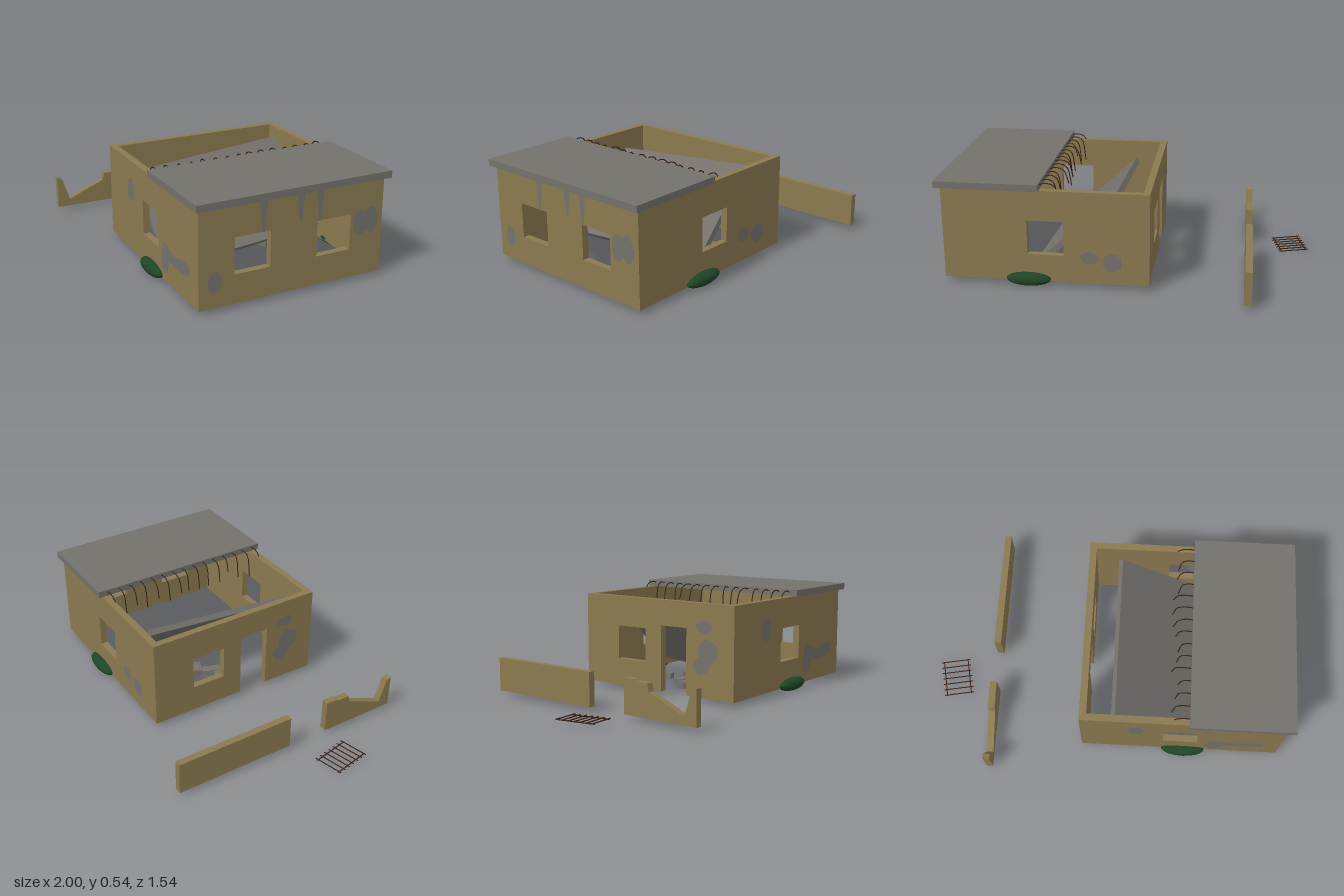
import * as THREE from 'three';

const W = 1.055, D = 0.982, T = 0.036, BASE = 0.035, TOP = 0.52, TURN = -0.263;

export function createModel() {
  const mat = (name, color, side = THREE.FrontSide) => {
    const m = new THREE.MeshStandardMaterial({ color, flatShading: true, side });
    m.name = name;
    return m;
  };
  const plaster = mat('tan plaster', 0x8b7a50);
  const concrete = mat('grey concrete', 0x74716c);
  const patchGrey = mat('exposed grey', 0x74716c, THREE.DoubleSide);
  const leaf = mat('dark green', 0x1f4426);
  const rust = mat('rusty iron', 0x3a2218);

  let seed = 11;
  const rnd = () => (seed = (seed * 16807) % 2147483647) / 2147483647;

  const model = new THREE.Group();
  model.name = 'ruinedHouse';
  const add = (parent, name, geo, material, pos = [0, 0, 0], rot = [0, 0, 0]) => {
    const m = new THREE.Mesh(geo, material);
    m.name = name;
    m.position.set(...pos);
    m.rotation.set(...rot);
    parent.add(m);
    return m;
  };
  const poly = pts => new THREE.Shape(pts.map(p => new THREE.Vector2(...p)));
  const rect = (x0, x1, y0, y1) => poly([[x0, y0], [x1, y0], [x1, y1], [x0, y1]]);
  const slab = shape => new THREE.ExtrudeGeometry(shape, { depth: T, bevelEnabled: false });
  const rod = (pts, r = 0.003, n = 6) => new THREE.TubeGeometry(
    new THREE.CatmullRomCurve3(pts.map(p => new THREE.Vector3(...p))), n, r, 5);

  const house = new THREE.Group();
  house.name = 'house';
  house.position.set(0.3275, 0, 0.13);
  house.rotation.y = TURN;
  model.add(house);

  // One wall: outer face on z = 0, windows given by their centre, optional door notch
  function wall(name, length, windows, pos, turn, door) {
    const g = new THREE.Group();
    g.name = name;
    g.position.set(...pos);
    g.rotation.y = turn;
    house.add(g);
    const h = length / 2;
    const outline = [[-h, BASE]];
    if (door) outline.push([door[0], BASE], [door[0], door[2]], [door[1], door[2]], [door[1], BASE]);
    outline.push([h, BASE], [h, TOP], [-h, TOP]);
    const shape = poly(outline);
    for (const u of windows) shape.holes.push(rect(u - 0.093, u + 0.093, 0.18, 0.36));
    add(g, name + 'Panel', slab(shape), plaster, [0, 0, -T]);
    return g;
  }
  const front = wall('frontWall', W - 2 * T, [0], [0, 0, D / 2], 0);
  const back = wall('backWall', W - 2 * T, [0], [0, 0, -D / 2], Math.PI);
  const right = wall('windowWall', D, [-0.217, 0.217], [W / 2, 0, 0], Math.PI / 2);
  const left = wall('doorWall', D, [-0.17], [-W / 2, 0, 0], -Math.PI / 2, [0.03, 0.195, 0.385]);

  // Worn patches where the plaster has fallen off
  function patch(parent, u, v, rx, ry) {
    const pts = [];
    for (let i = 0; i < 11; i++) {
      const a = i / 11 * Math.PI * 2, k = 0.88 + 0.2 * rnd();
      pts.push([u + Math.cos(a) * rx * k, v + Math.sin(a) * ry * k]);
    }
    add(parent, 'wornPatch', new THREE.ShapeGeometry(poly(pts)), patchGrey, [0, 0, 0.003]);
  }
  const flat = (parent, name, pts) =>
    add(parent, name, new THREE.ShapeGeometry(poly(pts)), patchGrey, [0, 0, 0.003]);
  flat(front, 'wornPatch', [[-0.275, 0.32], [-0.22, 0.305], [-0.195, 0.36], [-0.215, 0.43], [-0.265, 0.42], [-0.28, 0.38]]);
  flat(front, 'wornPatch', [[0.14, 0.1], [0.17, 0.08], [0.2, 0.09], [0.225, 0.155], [0.3, 0.15], [0.38, 0.155],
    [0.43, 0.165], [0.45, 0.195], [0.43, 0.225], [0.37, 0.225], [0.29, 0.205], [0.22, 0.225], [0.18, 0.245], [0.15, 0.22], [0.135, 0.16]]);
  patch(right, 0.365, 0.31, 0.042, 0.07);
  patch(right, 0.425, 0.315, 0.042, 0.07);
  patch(right, -0.41, 0.162, 0.037, 0.054);
  patch(back, 0.225, 0.175, 0.048, 0.034);
  patch(back, 0.34, 0.15, 0.05, 0.05);
  patch(left, 0.31, 0.4, 0.05, 0.033);
  patch(left, 0.33, 0.27, 0.062, 0.07);
  patch(left, 0.29, 0.2, 0.05, 0.045);
  // Water streaks running down from the roof
  for (const [u, len] of [[-0.165, 0.16], [0.03, 0.14], [0.135, 0.16]])
    flat(right, 'streak', [[u - 0.022, TOP], [u - 0.007, TOP - len], [u + 0.007, TOP - len], [u + 0.022, TOP]]);

  // Remaining half of the roof and the half that fell inside
  add(house, 'roof', new THREE.BoxGeometry(0.53, 0.035, 1.026), concrete, [0.292, 0.5375, 0]);
  add(house, 'fallenRoof', new THREE.BoxGeometry(0.56, 0.03, 0.865), concrete,
    [-0.153, 0.258, 0.005], [0.09, 0, -0.74]);

  // Bent bars along the broken roof edge
  for (let i = 0; i < 15; i++) {
    const z = -0.46 + i * 0.066, reach = 0.065 + rnd() * 0.04, drop = 0.06 + rnd() * 0.06, dz = (rnd() - 0.5) * 0.02;
    add(house, 'roofBar', rod([[0.04, 0.537, z], [0, 0.55, z], [0.03 - reach * 0.75, 0.535, z + dz * 0.5],
      [0.03 - reach, 0.535 - drop, z + dz]], 0.003, 8), rust);
  }

  // Shrubs flattened against the walls
  for (const [x, z] of [[0.02, 0.495], [0.09, -0.495]]) {
    const shrub = add(house, 'shrub', new THREE.IcosahedronGeometry(1, 2), leaf, [x, 0.047, z]);
    shrub.scale.set(0.117, 0.036, 0.042);
  }

  // Rubble under the fallen roof
  for (const [x, z, len] of [[-0.06, -0.15, 0.1], [-0.1, -0.08, 0.08], [-0.2, -0.3, 0.1], [-0.17, -0.23, 0.09],
    [-0.27, -0.26, 0.07], [-0.28, 0, 0.1], [-0.33, 0.03, 0.07], [-0.22, -0.06, 0.08]]) {
    add(house, 'rubble', new THREE.BoxGeometry(len, 0.032, 0.05), concrete, [x, 0.034, z],
      [(rnd() - 0.5) * 0.5, rnd() * 3, (rnd() - 0.5) * 0.5]);
  }

  // Low remains of the yard wall
  add(model, 'yardWall', new THREE.BoxGeometry(T, 0.175, 0.645), plaster, [-0.57, 0.1225, -0.452], [0, TURN, 0]);
  const broken = slab(poly([[-0.212, 0], [0.212, 0], [0.212, 0.175], [0.185, 0.165], [0.145, 0.04],
    [-0.06, 0.125], [-0.07, 0.165], [-0.14, 0.165], [-0.15, 0.175], [-0.212, 0.175]]));
  broken.translate(0, 0, -T / 2);
  add(model, 'brokenYardWall', broken, plaster, [-0.768, BASE, 0.28], [0, TURN - Math.PI / 2, 0]);

  // Loose mat of iron bars
  const mesh = new THREE.Group();
  mesh.name = 'ironMat';
  mesh.position.set(-0.917, 0.041, -0.045);
  mesh.rotation.set(0, -0.06, -0.05);
  model.add(mesh);
  for (const x of [-0.066, 0.066])
    add(mesh, 'longBar', new THREE.CylinderGeometry(0.003, 0.003, 0.2, 6), rust, [x, 0, 0], [Math.PI / 2, 0, 0]);
  for (let i = 0; i < 7; i++)
    add(mesh, 'crossBar', new THREE.CylinderGeometry(0.003, 0.003, 0.16, 6), rust,
      [0, 0.003, -0.096 + i * 0.032], [0, 0, Math.PI / 2]);

  return model;
}
